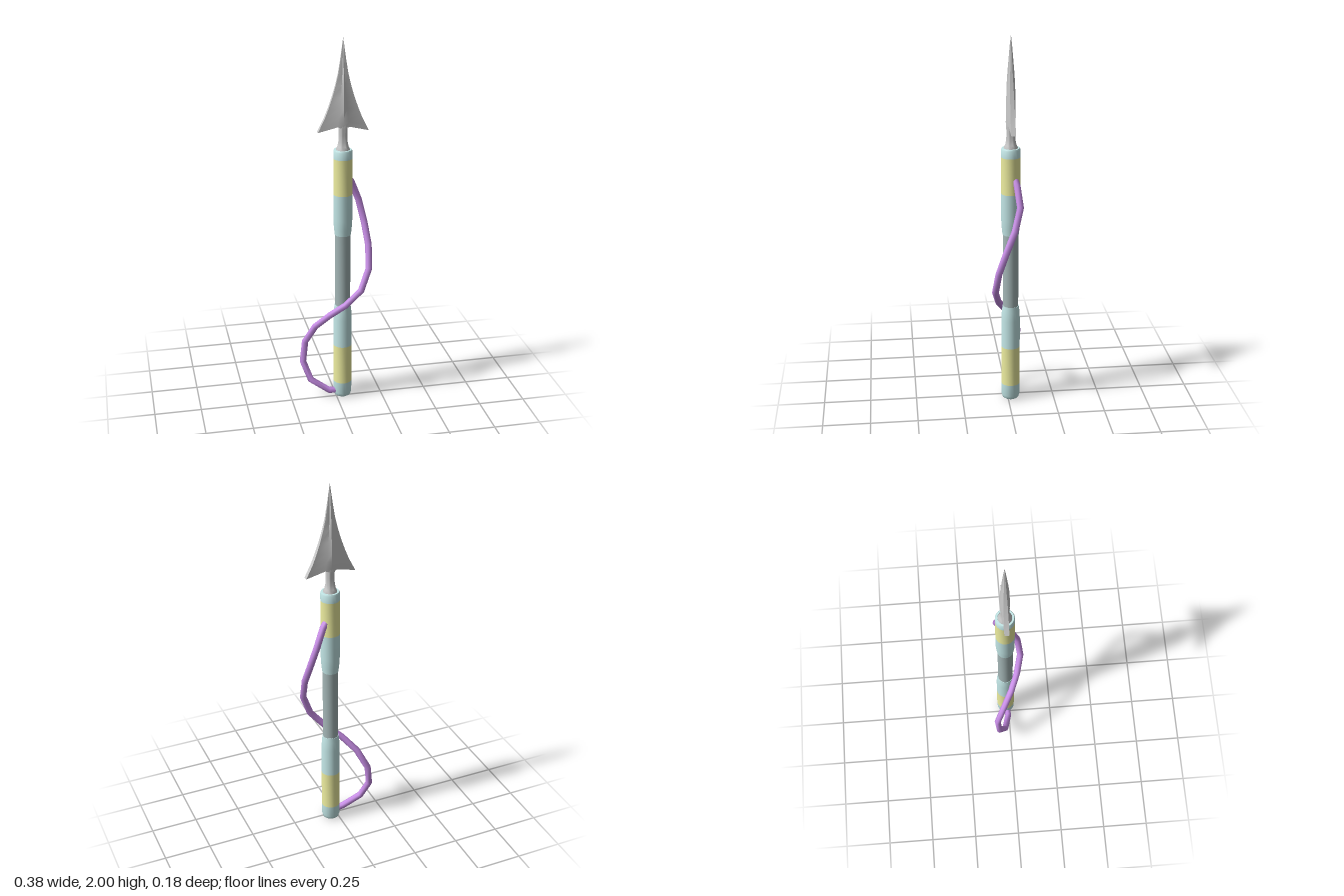
import * as THREE from 'three';
import { toCreasedNormals } from 'three/addons/utils/BufferGeometryUtils.js';

const AXIS_X = 0.037, AXIS_Z = -0.015;

function mesh(name, geometry, color) {
  const m = new THREE.Mesh(geometry, new THREE.MeshStandardMaterial({ color }));
  m.name = name;
  return m;
}

// Turned section of the shaft; profile is [radius, height] from bottom to top
function turned(name, profile, color) {
  const points = profile.map(([r, y]) => new THREE.Vector2(r, y));
  return mesh(name, toCreasedNormals(new THREE.LatheGeometry(points, 20), 0.7), color);
}

// Barbed blade: rows of ten-point rings, from the swept-back barbs to the tip
function bladeGeometry() {
  // half width, edge height, centre height, ridge half thickness, edge half thickness
  const rows = [
    [0.133, 1.52, 1.535, 0, 0],
    [0.133, 1.52, 1.535, 0.023, 0.012],
    [0.118, 1.55, 1.56, 0.024, 0.012],
    [0.098, 1.59, 1.595, 0.024, 0.012],
    [0.078, 1.64, 1.64, 0.024, 0.011],
    [0.057, 1.70, 1.70, 0.023, 0.010],
    [0.040, 1.76, 1.76, 0.021, 0.008],
    [0.026, 1.82, 1.82, 0.017, 0.006],
    [0.015, 1.89, 1.89, 0.011, 0.004],
    [0.007, 1.95, 1.95, 0.006, 0.002],
    [0.0005, 2.0, 2.0, 0.0005, 0.0003],
  ];
  const pos = [], index = [], n = 10;
  rows.forEach(([w, ye, yc, c, e], i) => {
    const m = w * 0.24, s = e + (c - e) * 0.3;
    const ym = i < 3 ? yc + 0.01 : yc;
    pos.push(w, ye, e, w, ye, -e, m, ym, -s, 0, yc, -c, -m, ym, -s,
      -w, ye, -e, -w, ye, e, -m, ym, s, 0, yc, c, m, ym, s);
    if (i === 0) return;
    for (let j = 0; j < n; j++) {
      const a = (i - 1) * n + j, b = (i - 1) * n + (j + 1) % n;
      index.push(a, b, b + n, a, b + n, a + n);
    }
  });
  const g = new THREE.BufferGeometry();
  g.setAttribute('position', new THREE.Float32BufferAttribute(pos, 3));
  g.setIndex(index);
  return toCreasedNormals(g, 0.7);
}

// Loose cord, one straight segment between neighbouring points
function cordGeometry() {
  const points = [
    [0.06, 1.27, -0.03], [0.088, 1.235, -0.042], [0.13, 1.13, -0.055],
    [0.155, 1.01, -0.025], [0.168, 0.9, 0.02], [0.163, 0.78, 0.06],
    [0.118, 0.66, 0.074], [0.04, 0.57, 0.05], [-0.04, 0.5, 0.012],
    [-0.11, 0.42, -0.035], [-0.16, 0.315, -0.075], [-0.175, 0.2, -0.065],
    [-0.138, 0.1, -0.03], [-0.04, 0.037, -0.005], [0.02, 0.03, -0.01],
  ].map(p => new THREE.Vector3(...p));
  const curve = new THREE.CatmullRomCurve3(points);
  curve.getPointAt = curve.getPoint;
  curve.getTangentAt = curve.getTangent;
  return new THREE.TubeGeometry(curve, points.length - 1, 0.018, 8);
}

export function createModel() {
  const model = new THREE.Group();
  model.name = 'spear';
  const blue = 0xc4e8e8, yellow = 0xeeeea0, grey = 0xa4b6b6, steel = 0xcccccc;

  const spear = new THREE.Group();
  spear.name = 'spearBody';
  spear.position.set(AXIS_X, 0, AXIS_Z);

  // Shaft, bottom to top
  spear.add(
    turned('buttCap', [[0, 0], [0.034, 0], [0.044, 0.007], [0.049, 0.025], [0.05, 0.09]], blue),
    turned('lowerBand', [[0.05, 0.09], [0.05, 0.31]], yellow),
    turned('lowerGrip', [[0.05, 0.31], [0.05, 0.47], [0.047, 0.52], [0.043, 0.55], [0.038, 0.55]], blue),
    turned('middleShaft', [[0.041, 0.54], [0.041, 0.97]], grey),
    turned('upperGrip', [[0.038, 0.955], [0.043, 0.955], [0.047, 0.99], [0.05, 1.04], [0.05, 1.18]], blue),
    turned('upperBand', [[0.05, 1.18], [0.05, 1.375]], yellow),
    turned('topCollar', [[0.05, 1.375], [0.05, 1.415], [0.046, 1.423], [0.037, 1.423], [0.035, 1.41], [0, 1.41]], blue),
  );

  // Spearhead
  const head = new THREE.Group();
  head.name = 'spearhead';
  head.add(
    turned('socket', [[0.036, 1.41], [0.036, 1.425], [0.029, 1.44], [0.024, 1.465],
      [0.022, 1.5], [0.024, 1.535], [0.022, 1.57], [0, 1.62]], steel),
    mesh('blade', bladeGeometry(), steel),
  );
  spear.add(head);

  model.add(spear, mesh('cord', cordGeometry(), 0xcb90ea));
  return model;
}
